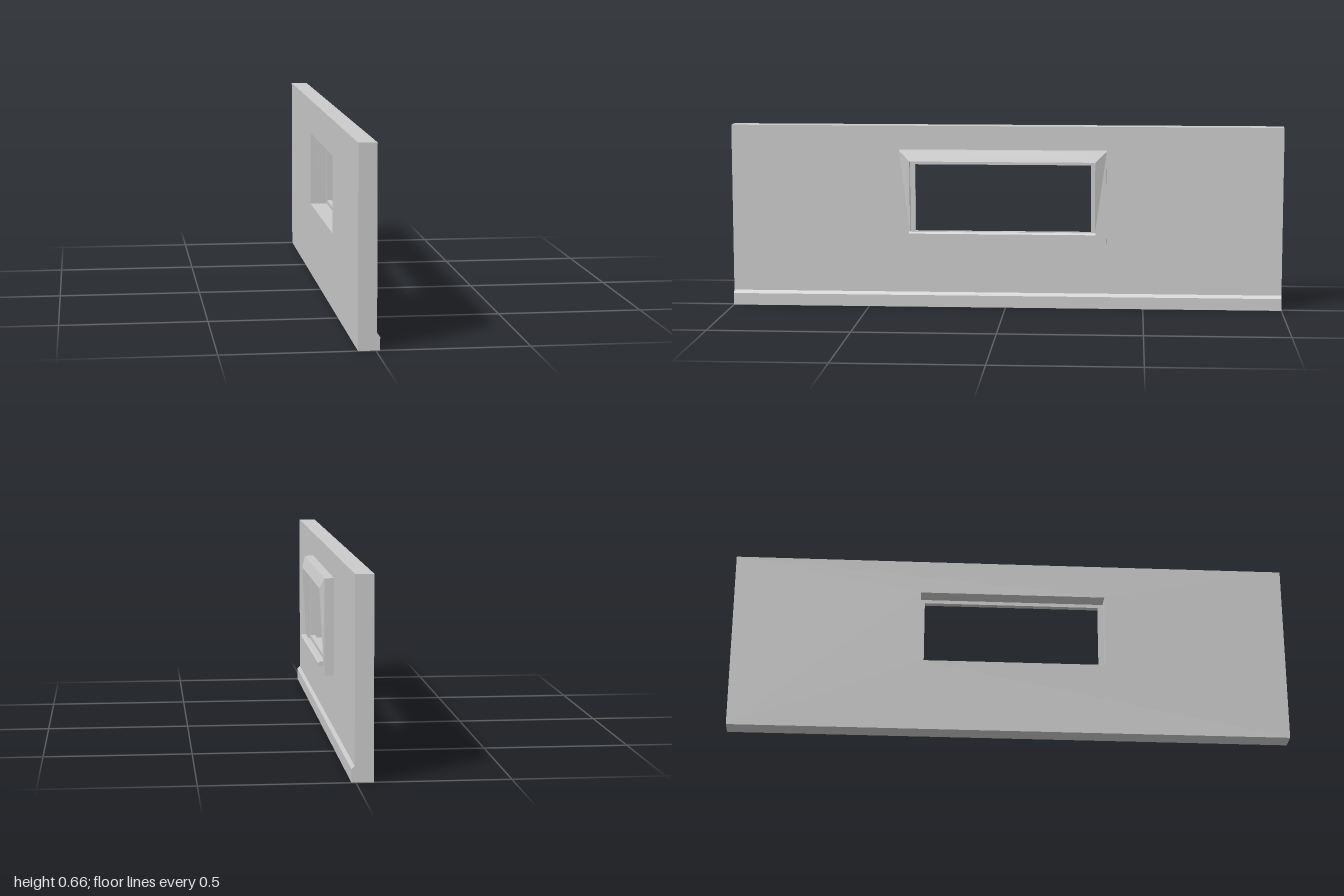
import * as THREE from 'three';

const material = new THREE.MeshStandardMaterial({ color: 0xcccccc, flatShading: true, side: THREE.DoubleSide });

// Window opening and the casing around it, as [zMin, zMax, yMin, yMax]
const opening = [-0.325, 0.345, 0.267, 0.538];
const clearOpening = [-0.31, 0.327, 0.281, 0.525];
const casingEdge = [-0.366, 0.384, 0.239, 0.577];

function rectangle(Type, [z0, z1, y0, y1]) {
  const r = new Type();
  r.moveTo(-z0, y0);
  r.lineTo(-z1, y0);
  r.lineTo(-z1, y1);
  r.lineTo(-z0, y1);
  r.closePath();
  return r;
}

// Rectangular panel with a hole, standing in the z-y plane from x0 to x1
function panel(name, outer, hole, x0, x1) {
  const shape = rectangle(THREE.Shape, outer);
  shape.holes.push(rectangle(THREE.Path, hole));
  const geo = new THREE.ExtrudeGeometry(shape, { depth: x1 - x0, bevelEnabled: false });
  geo.rotateY(Math.PI / 2).translate(x0, 0, 0);
  const mesh = new THREE.Mesh(geo, material);
  mesh.name = name;
  return mesh;
}

// Straight moulding: an x-y profile run along z
function moulding(name, profile, z0, z1) {
  const shape = new THREE.Shape(profile.map(([x, y]) => new THREE.Vector2(x, y)));
  const geo = new THREE.ExtrudeGeometry(shape, { depth: z1 - z0, bevelEnabled: false });
  geo.translate(0, 0, z0);
  const mesh = new THREE.Mesh(geo, material);
  mesh.name = name;
  return mesh;
}

// Hood: a sloped top that tapers down both sides to the sill
function windowHood() {
  const face = 0.037, lip = 0.051;
  const [cz0, cz1, , top] = casingEdge;
  const [z0, z1, , lipY] = opening;
  const foot = 0.28;
  const points = [
    face, top, cz0, face, top, cz1, // 0 1 outer top corners
    lip, lipY, z0, lip, lipY, z1, // 2 3 projecting lip
    face, lipY, z0, face, lipY, z1, // 4 5 lip root
    face, foot, z0, face, foot, z1, // 6 7 feet
  ];
  const faces = [
    0, 1, 3, 0, 3, 2, // sloped top
    2, 3, 5, 2, 5, 4, // soffit
    1, 7, 3, 0, 2, 6, // sloped sides
    3, 7, 5, 2, 4, 6, // inner cheeks
  ];
  const geo = new THREE.BufferGeometry();
  geo.setAttribute('position', new THREE.Float32BufferAttribute(points, 3));
  geo.setIndex(faces);
  const flat = geo.toNonIndexed();
  flat.computeVertexNormals();
  const mesh = new THREE.Mesh(flat, material);
  mesh.name = 'windowHood';
  return mesh;
}

export function createModel() {
  const model = new THREE.Group();
  model.name = 'wallWithWindow';

  model.add(panel('wall', [-1, 1, 0, 0.663], opening, -0.057, 0.004));
  model.add(moulding('baseboard',
    [[0.004, 0], [0.014, 0], [0.014, 0.043], [0.004, 0.054]], -1, 1));

  const window = new THREE.Group();
  window.name = 'window';
  window.add(panel('casing', casingEdge, opening, 0.004, 0.037));
  window.add(panel('windowStop', opening, clearOpening, 0.004, 0.022));
  window.add(windowHood());
  window.add(moulding('sillStrip',
    [[0.037, 0.267], [0.055, 0.267], [0.055, 0.276], [0.05, 0.282], [0.037, 0.282]], -0.327, 0.348));
  model.add(window);

  return model;
}
